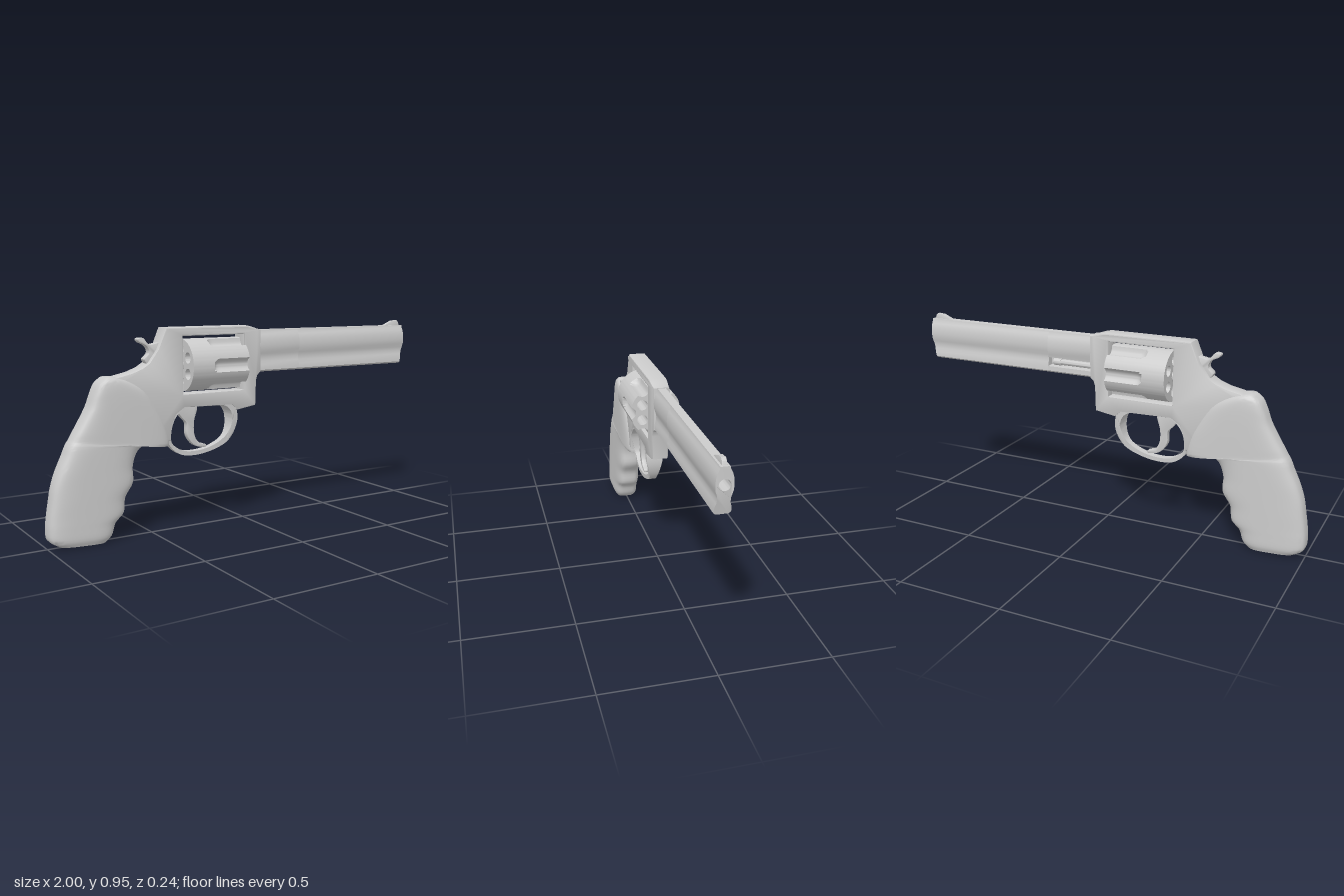
import * as THREE from 'three';
import { toCreasedNormals } from 'three/addons/utils/BufferGeometryUtils.js';

const material = new THREE.MeshStandardMaterial({ color: 0xcccccc, side: THREE.DoubleSide });
const V = ([x, y]) => new THREE.Vector2(x, y);
const clamp = THREE.MathUtils.clamp;

function part(group, name, geometry, crease = 0.6) {
  const mesh = new THREE.Mesh(toCreasedNormals(geometry, crease), material);
  mesh.name = name;
  group.add(mesh);
  return mesh;
}

// Move every vertex by a rule that edits the vector in place
function deform(geometry, rule) {
  const p = geometry.attributes.position, v = new THREE.Vector3();
  for (let i = 0; i < p.count; i++) {
    rule(v.fromBufferAttribute(p, i));
    p.setXYZ(i, v.x, v.y, v.z);
  }
  return geometry;
}

// Closed smooth outline through a few points
const smooth = (pts, n) =>
  new THREE.CatmullRomCurve3(pts.map(([x, y]) => new THREE.Vector3(x, y, 0)), true)
    .getPoints(n).slice(0, -1).map((p) => [p.x, p.y]);

// Flat part in the xy plane, centred on z = 0, with softened edges
function plate(pts, half, bevel, holes = []) {
  const shape = new THREE.Shape(pts.map(V));
  for (const h of holes) shape.holes.push(new THREE.Path(h.map(V)));
  return new THREE.ExtrudeGeometry(shape, {
    depth: 2 * (half - bevel), bevelEnabled: bevel > 0, bevelSize: bevel,
    bevelThickness: bevel, bevelOffset: -bevel, bevelSegments: 2,
  }).translate(0, 0, bevel - half);
}

// Cross-section (z mirrored, y) swept along x
function sweep(shape, x0, x1, steps = 1) {
  return new THREE.ExtrudeGeometry(shape, { depth: x1 - x0, steps, bevelEnabled: false, curveSegments: 20 })
    .rotateY(Math.PI / 2).translate(x0, 0, 0);
}

function rod(r, x0, x1, y, z = 0) {
  return new THREE.CylinderGeometry(r, r, x1 - x0, 24).rotateZ(Math.PI / 2).translate((x0 + x1) / 2, y, z);
}

// Rounded loops strung between matching back and front points
function makeGrip() {
  // back x, back y, front x, front y, half thickness
  const rows = [
    [-0.955, 0.012, -0.74, 0.002, 0.054], [-0.995, 0.04, -0.71, 0.03, 0.064],
    [-1.0, 0.09, -0.69, 0.085, 0.065], [-0.995, 0.14, -0.65, 0.125, 0.065],
    [-0.985, 0.20, -0.64, 0.195, 0.065], [-0.972, 0.27, -0.60, 0.26, 0.065],
    [-0.95, 0.335, -0.60, 0.335, 0.065], [-0.915, 0.41, -0.575, 0.40, 0.065],
    [-0.905, 0.435, -0.53, 0.427, 0.065], [-0.895, 0.455, -0.475, 0.42, 0.065],
    [-0.885, 0.47, -0.417, 0.405, 0.064], [-0.87, 0.495, -0.43, 0.49, 0.064],
    [-0.835, 0.55, -0.475, 0.58, 0.064], [-0.80, 0.61, -0.54, 0.67, 0.063],
    [-0.778, 0.665, -0.61, 0.715, 0.06], [-0.755, 0.71, -0.66, 0.732, 0.053],
    [-0.725, 0.735, -0.69, 0.738, 0.04],
  ];
  const back = new THREE.CatmullRomCurve3(rows.map((r) => new THREE.Vector3(r[0], r[1], r[4])));
  const front = new THREE.CatmullRomCurve3(rows.map((r) => new THREE.Vector3(r[2], r[3], r[4])));
  const N = 64, M = 40, pos = [], idx = [];
  const soft = (c, e) => Math.sign(c) * Math.abs(c) ** e;
  for (let i = -1; i <= N + 1; i++) {
    const t = clamp(i / N, 0, 1), b = back.getPoint(t), f = front.getPoint(t);
    const size = i < 0 || i > N ? 0 : 1; // first and last loops close the ends
    for (let j = 0; j < M; j++) {
      const a = (j / M) * Math.PI * 2;
      const u = 0.5 + 0.5 * size * soft(Math.cos(a), 0.6);
      pos.push(b.x + (f.x - b.x) * u, b.y + (f.y - b.y) * u, size * b.z * soft(Math.sin(a), 0.5));
    }
  }
  for (let i = 0; i < N + 2; i++) for (let j = 0; j < M; j++) {
    const a = i * M + j, b = i * M + (j + 1) % M;
    idx.push(a, a + M, b, b, a + M, b + M);
  }
  const g = new THREE.BufferGeometry();
  g.setAttribute('position', new THREE.Float32BufferAttribute(pos, 3));
  g.setIndex(idx);
  return g;
}

// Six-chambered drum; flutes run out in a rounded end towards the rear
function makeDrum() {
  const R = 0.121, fluteR = 0.03, centre = 0.126, length = 0.3, per = 16;
  const radius = (a, r) => {
    const step = Math.PI / 3, d = a - Math.round(a / step) * step;
    const k = r * r - (centre * Math.sin(d)) ** 2;
    return k > 0 ? Math.min(R, centre * Math.cos(d) - Math.sqrt(k)) : R;
  };
  const pts = [];
  for (let i = 0; i < 6 * per; i++) {
    const a = (i / (6 * per)) * Math.PI * 2, r = radius(a, fluteR);
    pts.push(new THREE.Vector2(r * Math.cos(a), r * Math.sin(a)));
  }
  const shape = new THREE.Shape(pts);
  for (let i = 0; i < 6; i++) {
    const a = Math.PI / 6 + (i * Math.PI) / 3;
    shape.holes.push(new THREE.Path().absarc(0.075 * Math.cos(a), 0.075 * Math.sin(a), 0.0255, 0, Math.PI * 2, true));
  }
  const g = sweep(shape, 0, length, 30);
  deform(g, (v) => {
    const a = Math.atan2(v.y, v.z), old = Math.hypot(v.y, v.z);
    if (Math.abs(old - radius(a, fluteR)) > 1e-4) return;
    const back = Math.max(0, 0.14 - v.x);
    const r = radius(a, Math.sqrt(Math.max(0, fluteR ** 2 - back ** 2)));
    v.y *= r / old;
    v.z *= r / old;
  });
  return g.translate(-0.335, 0.77, 0);
}

export function createModel() {
  const model = new THREE.Group();
  model.name = 'revolver';

  // Frame with the drum window, narrowing slightly into the barrel
  const frame = plate([
    [-0.43, 0.945], [0, 0.945], [0.03, 0.938], [0.06, 0.928], [0.08, 0.925], [0.08, 0.72], [0.062, 0.705],
    [0.054, 0.68], [0.05, 0.56], [-0.055, 0.545], [-0.085, 0.572], [-0.34, 0.578], [-0.385, 0.55],
    [-0.408, 0.5], [-0.412, 0.43], [-0.5, 0.45], [-0.7, 0.69], [-0.68, 0.733], [-0.6, 0.75],
    [-0.55, 0.768], [-0.515, 0.79], [-0.47, 0.85],
  ], 0.043, 0.007, [[[-0.345, 0.64], [-0.02, 0.64], [-0.02, 0.905], [-0.345, 0.905]]]);
  part(model, 'frame', deform(frame, (v) => { v.z *= 1 - 1.6 * clamp(v.x, 0, 0.08); }));

  // Trigger guard, thin at the bottom and widening into the frame
  const guard = plate(
    smooth([[-0.40, 0.585], [-0.42, 0.5], [-0.413, 0.41], [-0.355, 0.357], [-0.285, 0.345], [-0.18, 0.36],
      [-0.09, 0.402], [-0.056, 0.475], [-0.064, 0.56], [-0.1, 0.6], [-0.25, 0.6]], 80), 1, 0,
    [smooth([[-0.39, 0.53], [-0.405, 0.48], [-0.398, 0.415], [-0.34, 0.373], [-0.27, 0.365], [-0.18, 0.382],
      [-0.108, 0.425], [-0.082, 0.49], [-0.09, 0.54], [-0.125, 0.571], [-0.33, 0.576]], 80)]);
  part(model, 'triggerGuard', deform(guard, (v) => {
    v.z *= THREE.MathUtils.lerp(0.018, 0.04, clamp((v.y - 0.41) / 0.1, 0, 1));
  }));

  part(model, 'trigger', plate(smooth([
    [-0.375, 0.585], [-0.345, 0.53], [-0.318, 0.5], [-0.315, 0.44], [-0.275, 0.39], [-0.215, 0.379],
    [-0.213, 0.388], [-0.255, 0.405], [-0.275, 0.44], [-0.278, 0.5], [-0.262, 0.585]], 50), 0.016, 0.004));

  part(model, 'hammer', plate(smooth([
    [-0.56, 0.897], [-0.535, 0.902], [-0.505, 0.872], [-0.475, 0.875], [-0.43, 0.88], [-0.43, 0.8],
    [-0.5, 0.775], [-0.53, 0.805], [-0.505, 0.835], [-0.518, 0.865], [-0.555, 0.885]], 50), 0.02, 0.004));

  part(model, 'grip', makeGrip(), 0.9);

  // Barrel: hollow-sided section, with a rod slot cut into the right side at the rear
  const lower = [[0.026, 0.72], [0.035, 0.728], [0.034, 0.75]];
  const waist = [[0.028, 0.77], [0.026, 0.79]];
  const slot = [[-0.006, 0.752], [-0.006, 0.793], [0.026, 0.793]];
  const upper = [[0.029, 0.806], [0.035, 0.825], [0.037, 0.848], [0.035, 0.875], [0.029, 0.897],
    [0.021, 0.912], [0.019, 0.922]];
  const mirrored = [...lower, ...waist, ...upper].reverse().map(([x, y]) => [-x, y]);
  const section = (middle) => new THREE.Shape([...lower, ...middle, ...upper, ...mirrored].map(V));
  const bored = section(waist);
  bored.holes.push(new THREE.Path().absarc(0, 0.848, 0.024, 0, Math.PI * 2, true));
  const barrel = deform(sweep(bored, 0.31, 1), (v) => {
    if (v.x > 0.9) v.x -= 0.25 * clamp(0.81 - v.y, 0, 0.1);
  });
  part(model, 'barrel', barrel);
  part(model, 'barrelRear', sweep(section(slot), 0.04, 0.31));
  part(model, 'ejectorRod', rod(0.014, 0.04, 0.285, 0.772, -0.012));
  part(model, 'ejectorRodTip', rod(0.017, 0.245, 0.285, 0.772, -0.012));

  part(model, 'frontSight', plate([
    [0.87, 0.915], [0.9, 0.928], [0.94, 0.945], [0.975, 0.948], [0.985, 0.938], [0.992, 0.915]], 0.01, 0.002));

  part(model, 'drum', makeDrum());
  part(model, 'drumSpindle', rod(0.026, -0.35, -0.015, 0.77));
  return model;
}
